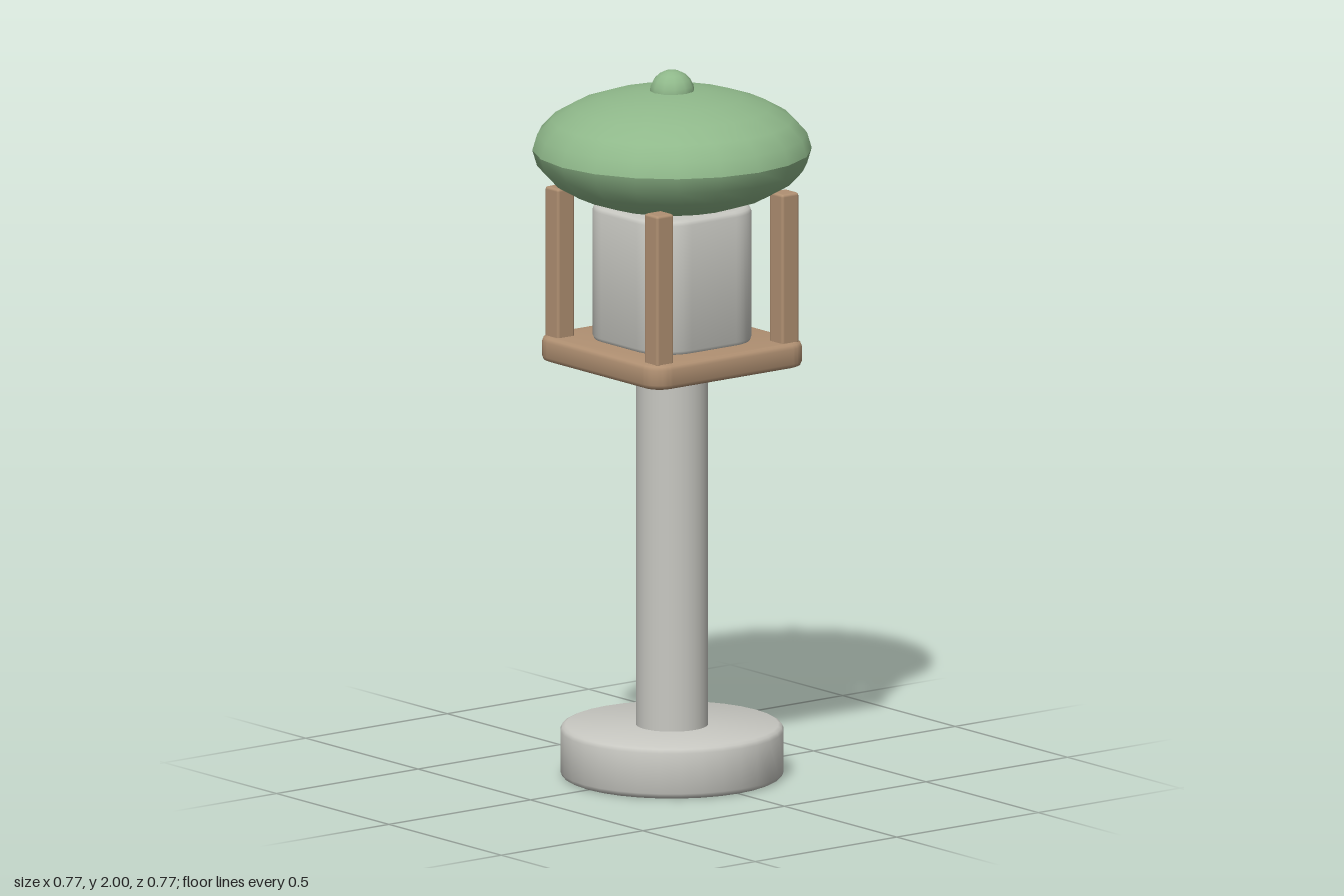
import * as THREE from 'three';
import { toCreasedNormals } from 'three/addons/utils/BufferGeometryUtils.js';
import { RoundedBoxGeometry } from 'three/addons/geometries/RoundedBoxGeometry.js';

const stone = new THREE.MeshStandardMaterial({ name: 'stone', color: 0xc8c8c2 });
const wood = new THREE.MeshStandardMaterial({ name: 'wood', color: 0xb09072 });
const green = new THREE.MeshStandardMaterial({ name: 'green', color: 0x8fb88a });

// Turns a list of [radius, y] points, running upwards, round the y axis
function turned(points, segments) {
  return new THREE.LatheGeometry(points.map(([r, y]) => new THREE.Vector2(r, y)), segments);
}

// Square slab with rounded corners and softened top and bottom rims
function roundedSlab(width, y0, y1, radius, bevel) {
  const h = width / 2, k = h - radius;
  const shape = new THREE.Shape();
  for (let i = 0; i < 4; i++) {
    const a = i * Math.PI / 2;
    const sx = i === 0 || i === 3 ? 1 : -1, sy = i < 2 ? 1 : -1;
    shape.absarc(sx * k, sy * k, radius, a, a + Math.PI / 2, false);
  }
  const geo = new THREE.ExtrudeGeometry(shape, {
    depth: y1 - y0 - 2 * bevel, curveSegments: 6,
    bevelSize: bevel, bevelThickness: bevel, bevelOffset: -bevel, bevelSegments: 2,
  });
  geo.rotateX(-Math.PI / 2).translate(0, y0 + bevel, 0);
  return toCreasedNormals(geo, 0.9);
}

// Part of a flattened dome outline between two latitudes
function domeProfile(radius, height, centre, from, to, steps) {
  return Array.from({ length: steps + 1 }, (_, i) => {
    const a = from + (to - from) * i / steps;
    return [Math.max(0, radius * Math.cos(a)), centre + height * Math.sin(a)];
  });
}

export function createModel() {
  const model = new THREE.Group();
  model.name = 'stoneLantern';
  const add = (name, geometry, material) => {
    const mesh = new THREE.Mesh(geometry, material);
    mesh.name = name;
    model.add(mesh);
    return mesh;
  };

  // Round foot with softened rims
  const foot = turned([[0, 0], [0.295, 0], [0.305, 0.005], [0.31, 0.016],
    [0.31, 0.13], [0.305, 0.141], [0.295, 0.146], [0, 0.146]], 32);
  add('foot', toCreasedNormals(foot, 0.9), stone);

  // Pillar
  add('pillar', new THREE.CylinderGeometry(0.1, 0.1, 1.06, 32).translate(0, 0.66, 0), stone);

  // Platform and lamp chamber
  add('platform', roundedSlab(0.546, 1.17, 1.24, 0.06, 0.014), wood);
  add('lampChamber', roundedSlab(0.376, 1.235, 1.618, 0.11, 0.014), stone);

  // Four corner posts
  for (const x of [-1, 1]) for (const z of [-1, 1]) {
    const post = add('post', new RoundedBoxGeometry(0.06, 0.43, 0.06, 2, 0.008), wood);
    post.position.set(x * 0.221, 1.447, z * 0.221);
  }

  // Roof in two shells meeting at the eaves, with a finial on top
  const q = Math.PI / 2;
  add('roofUnderside', turned(domeProfile(0.387, 0.17, 1.776, -q, 0, 6), 20), green);
  add('roofTop', turned(domeProfile(0.387, 0.17, 1.776, 0, q, 6), 20), green);
  add('finial', new THREE.SphereGeometry(0.063, 12, 10).translate(0, 1.937, 0), green);

  return model;
}
